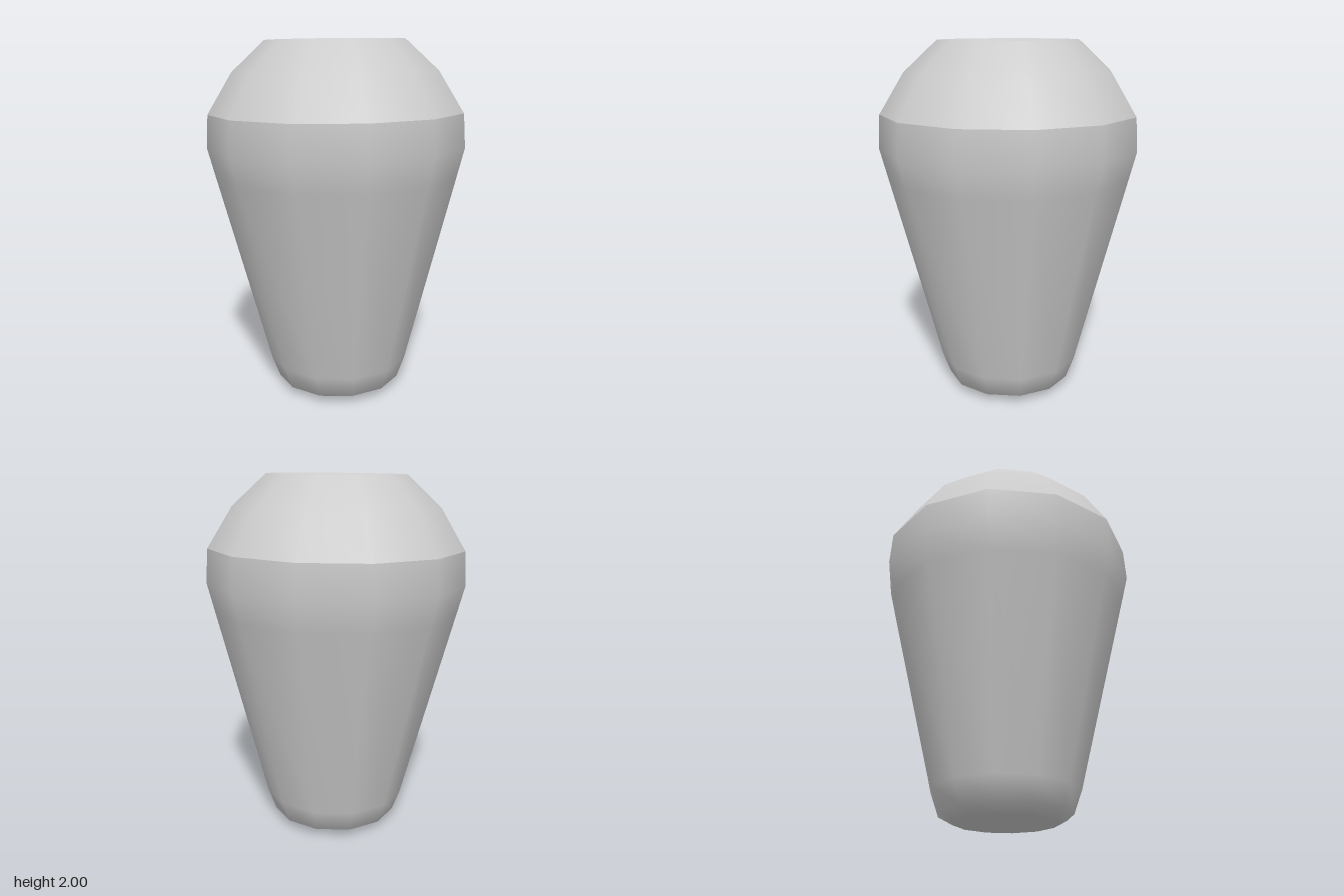
import * as THREE from 'three';

const SIDES = 12;

// Revolve a bottom-to-top profile of [radius, height] pairs into a smooth 12-sided part
function turned(name, profile) {
  const points = profile.map(([r, y]) => new THREE.Vector2(r, y));
  const material = new THREE.MeshStandardMaterial({ color: 0xcccccc, side: THREE.DoubleSide });
  const mesh = new THREE.Mesh(new THREE.LatheGeometry(points, SIDES), material);
  mesh.name = name;
  return mesh;
}

export function createModel() {
  const model = new THREE.Group();
  model.name = 'vase';

  // The whole vase leans very slightly
  const vase = new THREE.Group();
  vase.name = 'leaningVase';
  vase.rotation.z = 0.01;
  vase.position.set(0.01, 0.004, 0);

  vase.add(
    // Closed foot and tapered wall up to the sharp shoulder edge
    turned('body', [
      [0, 0], [0.28, 0.002], [0.36, 0.045], [0.405, 0.17],
      [0.68, 1.26], [0.72, 1.42], [0.709, 1.603],
    ]),
    // Rounded shoulder closing in to the mouth
    turned('shoulder', [[0.709, 1.603], [0.572, 1.825], [0.39, 1.992]]),
    // Shallow dish sunk into the mouth
    turned('mouthDish', [[0.39, 1.992], [0.27, 1.945], [0.13, 1.91], [0, 1.9]])
  );

  model.add(vase);
  return model;
}
